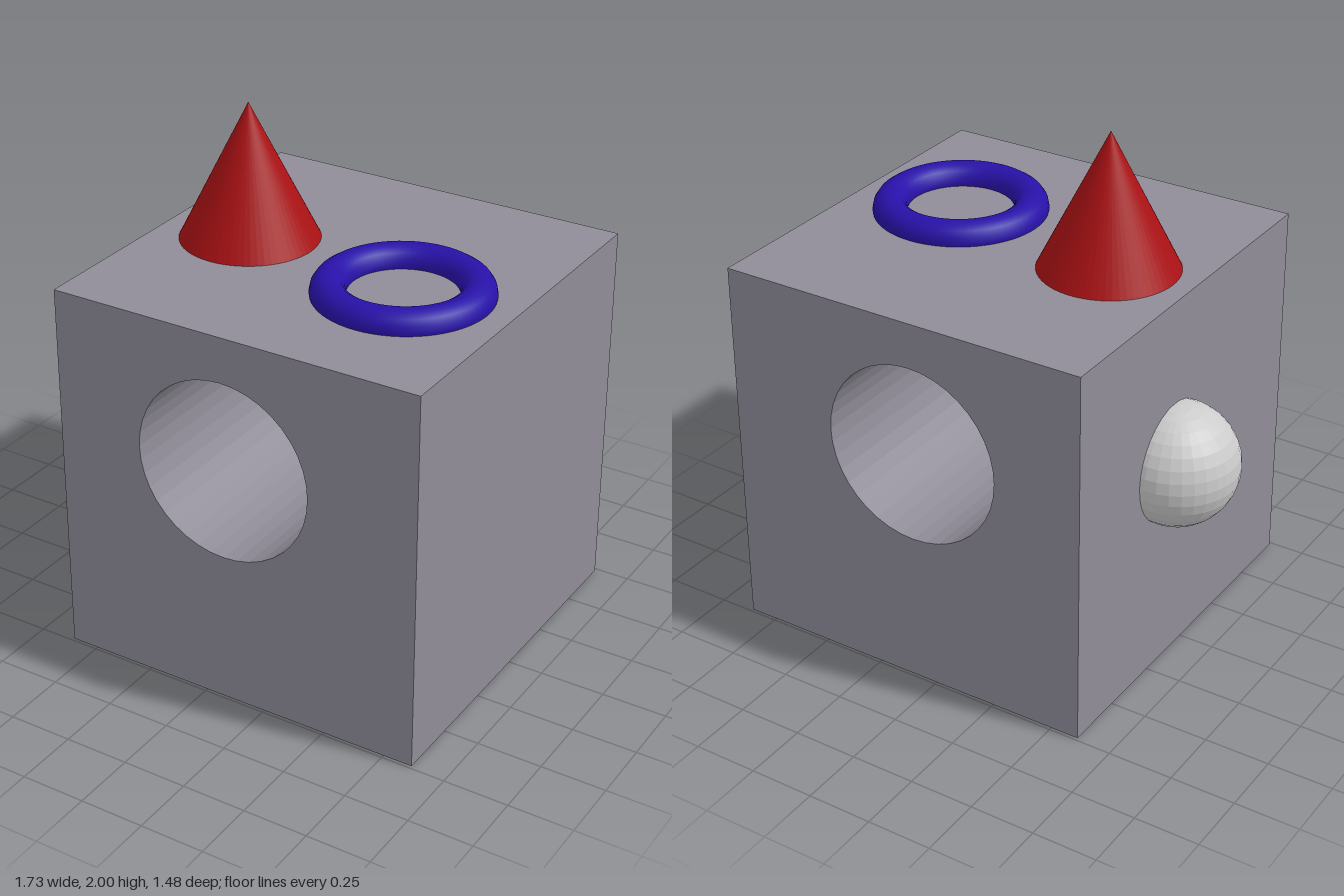
import * as THREE from 'three';

function part(name, geometry, color, flatShading, x, y, z) {
  const material = new THREE.MeshStandardMaterial({ color, flatShading });
  const mesh = new THREE.Mesh(geometry, material);
  mesh.name = name;
  mesh.position.set(x, y, z);
  return mesh;
}

export function createModel() {
  const group = new THREE.Group();
  const size = 1.475, half = size / 2, centreX = 0.127;

  // Cube with a round tunnel from front to back
  const face = new THREE.Shape();
  face.moveTo(-half, 0);
  face.lineTo(half, 0);
  face.lineTo(half, size);
  face.lineTo(-half, size);
  face.closePath();
  const tunnel = new THREE.Path();
  tunnel.absarc(0.085 - centreX, 0.95, 0.35, 0, Math.PI * 2, true);
  face.holes.push(tunnel);
  const cube = new THREE.ExtrudeGeometry(face, { depth: size, bevelEnabled: false, curveSegments: 20 });
  cube.translate(0, 0, -half);
  group.add(part('cubeWithTunnel', cube, 0x908c98, true, centreX, 0, 0));

  // Cone standing on the top face
  const coneHeight = 2 - size;
  group.add(part('cone', new THREE.ConeGeometry(0.262, coneHeight, 64), 0xaa1114, true,
    -0.275, size + coneHeight / 2, -0.003));

  // Ring half sunk into the top face
  const ring = new THREE.TorusGeometry(0.265, 0.066, 16, 64);
  ring.rotateX(Math.PI / 2);
  group.add(part('ring', ring, 0x2811a8, false, 0.445, 1.484, 0.12));

  // Ball half sunk into the right side
  group.add(part('ball', new THREE.SphereGeometry(0.234, 32, 16), 0xcccccc, true, -0.63, 0.831, -0.102));

  return group;
}
